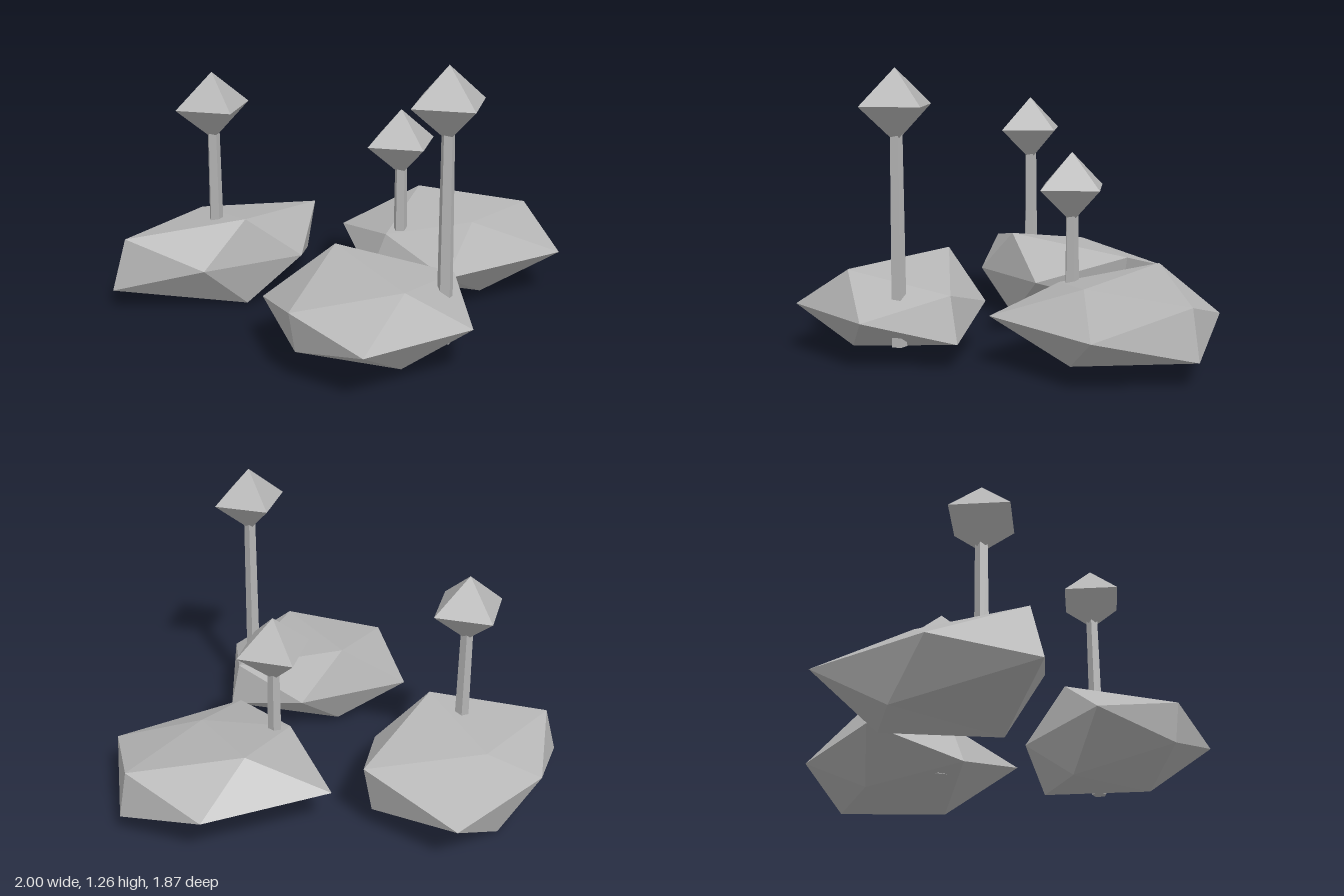
import * as THREE from 'three';

const stone = new THREE.MeshStandardMaterial({ color: 0xb4b4b4, flatShading: true });
stone.name = 'grey stone';

// Squashed icosahedron whose corners are pushed in or out along their own rays.
// Radii come in three sets of four (--, +-, -+, ++): waist (x,z), ends (x,y), ridges (y,z).
function rockGeometry(radii) {
  const geo = new THREE.IcosahedronGeometry(1, 0).rotateY(Math.PI / 2);
  const pos = geo.attributes.position;
  for (let i = 0; i < pos.count; i++) {
    const p = [pos.getX(i), pos.getY(i), pos.getZ(i)];
    const zeroAxis = p.findIndex((v) => Math.abs(v) < 1e-3);
    const [a, b] = p.filter((_, k) => k !== zeroAxis);
    const set = [2, 0, 1][zeroAxis];
    const r = radii[set][(a > 0 ? 1 : 0) + (b > 0 ? 2 : 0)];
    pos.setXYZ(i, p[0] * r * 1.2, p[1] * r * 0.45, p[2] * r);
  }
  geo.computeVertexNormals();
  return geo;
}

function add(parent, name, geo, x, y, z) {
  const mesh = new THREE.Mesh(geo, stone);
  mesh.name = name;
  mesh.position.set(x, y, z);
  parent.add(mesh);
}

const islands = [
  { name: 'leftIsland', at: [0.51, 0], post: [0.23, 0], headY: 0.735,
    radii: [[0.517, 0.423, 0.505, 0.505], [0.44, 0.48, 0.353, 0.44], [0.39, 0.495, 0.483, 0.342]] },
  { name: 'frontIsland', at: [-0.29, 0.58], post: [-0.035, 0.735], headY: 1.11,
    radii: [[0.47, 0.376, 0.411, 0.411], [0.355, 0.45, 0.382, 0.405], [0.495, 0.56, 0.42, 0.46]] },
  { name: 'backIsland', at: [-0.46, -0.5], post: [-0.525, -0.39], headY: 0.922,
    radii: [[0.352, 0.517, 0.352, 0.4], [0.529, 0.465, 0.46, 0.51], [0.561, 0.342, 0.53, 0.53]] },
];

export function createModel() {
  const model = new THREE.Group();
  model.name = 'floatingIslands';
  const base = 0.095;
  for (const { name, at, post, headY, radii } of islands) {
    const island = new THREE.Group();
    island.name = name;
    add(island, 'rock', rockGeometry(radii), at[0], 0.22, at[1]);
    // five-sided tapering post, its foot sunk in the rock
    const h = headY - 0.08 - base;
    add(island, 'post', new THREE.CylinderGeometry(0.028, 0.035, h, 5), post[0], base + h / 2, post[1]);
    // eight-sided crystal on top
    const crystal = new THREE.OctahedronGeometry(0.18, 0).scale(1, 0.86, 1);
    crystal.computeVertexNormals();
    add(island, 'crystal', crystal, post[0], headY, post[1]);
    model.add(island);
  }
  return model;
}
